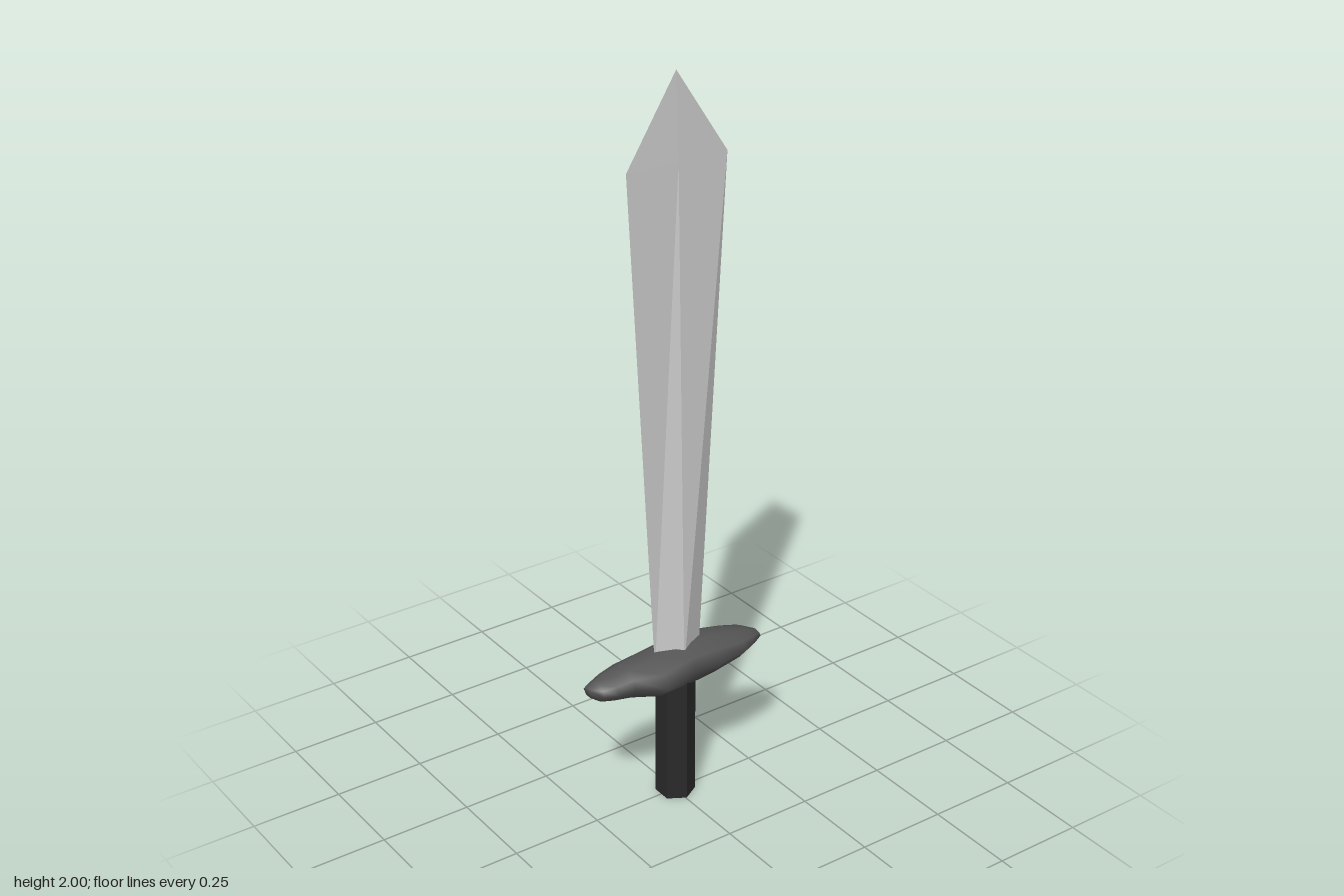
import * as THREE from 'three';

// Skin a stack of equally sized point rings, closing both ends.
// Rings run clockwise when seen from the direction the stack advances in.
function loft(rings) {
  const n = rings[0].length, last = (rings.length - 1) * n, index = [];
  for (let i = 0; i < rings.length - 1; i++) {
    for (let j = 0; j < n; j++) {
      const a = i * n + j, b = i * n + (j + 1) % n;
      index.push(a, a + n, b, b, a + n, b + n);
    }
  }
  for (let j = 1; j < n - 1; j++) {
    index.push(0, j, j + 1, last, last + j + 1, last + j);
  }
  const geometry = new THREE.BufferGeometry();
  geometry.setAttribute('position', new THREE.Float32BufferAttribute(rings.flat(2), 3));
  geometry.setIndex(index);
  geometry.computeVertexNormals();
  return geometry;
}

function part(name, geometry, color, flatShading) {
  const mesh = new THREE.Mesh(geometry, new THREE.MeshStandardMaterial({ color, flatShading }));
  mesh.name = name;
  return mesh;
}

export function createModel() {
  const sword = new THREE.Group();
  sword.name = 'sword';

  // Hexagonal grip
  const grip = part('grip', new THREE.CylinderGeometry(0.053, 0.053, 0.38, 6, 1, false, Math.PI / 2), 0x2a2a2a, true);
  grip.position.set(0, 0.19, -0.003);
  sword.add(grip);

  // Lumpy crossguard: z, right x, left x, bottom y, top y, widest y
  const sections = [
    [-0.264, -0.006, 0.025, 0.39, 0.41, 0.4],
    [-0.23, -0.053, 0.045, 0.377, 0.424, 0.4],
    [-0.185, -0.067, 0.065, 0.367, 0.437, 0.4],
    [-0.1, -0.092, 0.073, 0.354, 0.454, 0.395],
    [-0.02, -0.085, 0.073, 0.346, 0.457, 0.4],
    [0.08, -0.079, 0.09, 0.35, 0.45, 0.388],
    [0.16, -0.067, 0.057, 0.366, 0.44, 0.4],
    [0.21, -0.053, 0.052, 0.374, 0.433, 0.4],
    [0.245, -0.038, 0.037, 0.379, 0.424, 0.4],
    [0.265, -0.03, 0.005, 0.388, 0.413, 0.4],
  ];
  const guardRings = sections.map(([z, r, l, bottom, top, mid]) => [
    [r, mid, z], [r * 0.75, mid + (top - mid) * 0.6, z], [r * 0.3, top, z],
    [l * 0.3, top, z], [l * 0.8, mid + (top - mid) * 0.6, z], [l, mid, z],
    [l * 0.55, bottom, z], [r * 0.55, bottom, z],
  ]);
  sword.add(part('crossguard', loft(guardRings), 0x555555, false));

  // Diamond-section blade, thinning to the point: y, back z, front z, half thickness
  const bladeRings = [
    [0.4, -0.077, 0.062, 0.034],
    [1.775, -0.155, 0.138, 0.005],
    [2, -0.005, -0.005, 0],
  ].map(([y, back, front, t]) => {
    const mid = (back + front) / 2;
    return [[0, y, back], [t, y, mid], [0, y, front], [-t, y, mid]];
  });
  sword.add(part('blade', loft(bladeRings), 0xcccccc, true));

  return sword;
}
